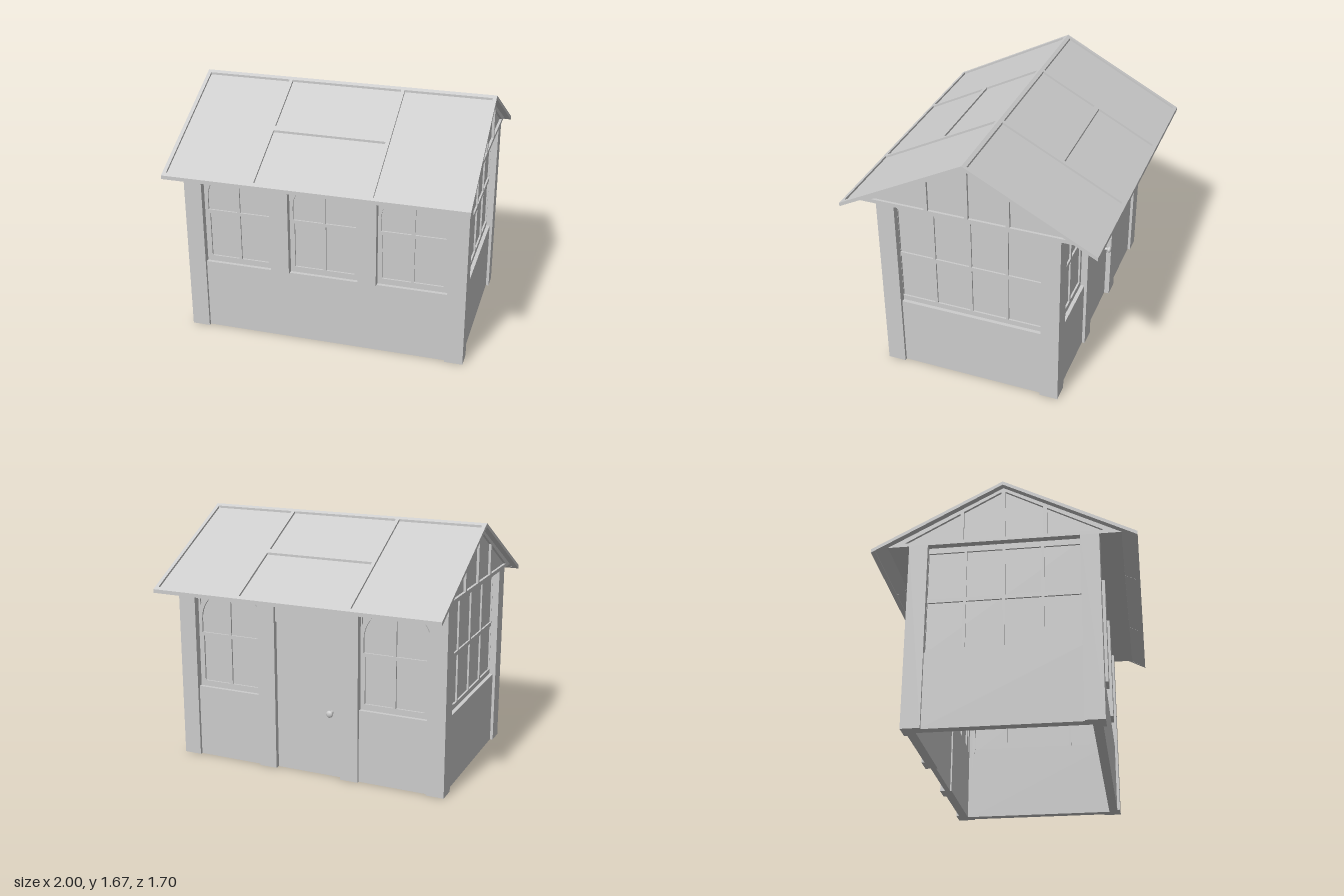
import * as THREE from 'three';

const paint = new THREE.MeshStandardMaterial({ color: 0xcccccc });
paint.name = 'light grey';

const W = 0.96, D = 0.61;      // half width and half depth of the house
const RIDGE = 1.675, SLOPE = 0.5235;
const PLATE = 1.255;           // top of the walls

function add(parent, name, geometry) {
  const m = new THREE.Mesh(geometry, paint);
  m.name = name;
  parent.add(m);
  return m;
}

// Box given by its limits
function box(parent, name, x0, x1, y0, y1, z0, z1) {
  const g = new THREE.BoxGeometry(x1 - x0, y1 - y0, z1 - z0);
  g.translate((x0 + x1) / 2, (y0 + y1) / 2, (z0 + z1) / 2);
  return add(parent, name, g);
}

const toPoints = (list) => list.map(([x, y]) => new THREE.Vector2(x, y));
const rect = (x0, x1, y0, y1) => [[x0, y0], [x1, y0], [x1, y1], [x0, y1]];
const flip = (list) => list.map(([x, y]) => [-x, y]);

// Flat frame with openings, from z0 to z1
function frame(parent, name, outline, holes, z0, z1) {
  const shape = new THREE.Shape(toPoints(outline));
  shape.holes = holes.map((h) => new THREE.Path(toPoints(h)));
  const g = new THREE.ExtrudeGeometry(shape, { depth: z1 - z0, bevelEnabled: false });
  g.translate(0, 0, z0);
  return add(parent, name, g);
}

function arc(r, cy, a0, a1, n = 10) {
  const pts = [];
  for (let i = 0; i <= n; i++) {
    const a = a0 + (a1 - a0) * i / n;
    pts.push([r * Math.cos(a), cy + r * Math.sin(a)]);
  }
  return pts;
}

// Arched four-pane window with open corners above the arch
function archWindow(parent, x, d) {
  const win = new THREE.Group();
  win.name = 'archedWindow';
  win.position.x = x;
  parent.add(win);
  const cy = 0.975;
  const lower = rect(0.01, 0.205, 0.54, 0.86);
  const upper = [[0.01, 0.885], [0.215, 0.885], ...arc(0.215, cy, 0, 1.524)];
  const corner = [[0.225, 1.235], [0.06, 1.235], ...arc(0.245, cy, 1.32, 0.407)];
  const half = [lower, upper, corner];
  frame(win, 'windowFrame', rect(-0.24, 0.24, 0.5, PLATE), [...half, ...half.map(flip)], d - 0.075, d - 0.045);
  box(win, 'windowPane', -0.235, 0.235, 0.51, 1.25, d - 0.063, d - 0.057);
}

function face(house, name, angle) {
  const g = new THREE.Group();
  g.name = name;
  g.rotation.y = angle;
  house.add(g);
  return g;
}

// Gable end: low wall, eight-pane window and glazed triangle
function gableSide(house, name, angle) {
  const g = face(house, name, angle);
  box(g, 'lowWall', -0.5, 0.5, 0, 0.5, W - 0.08, W - 0.02);
  const holes = [];
  for (let i = 0; i < 4; i++) {
    const x = -0.487 + i * 0.2475;
    holes.push(rect(x, x + 0.23, 0.535, 0.857), rect(x, x + 0.23, 0.885, 1.215));
  }
  frame(g, 'sideWindowFrame', rect(-0.5, 0.5, 0.5, PLATE), holes, W - 0.075, W - 0.045);
  box(g, 'sideWindowPane', -0.495, 0.495, 0.51, 1.25, W - 0.063, W - 0.057);

  const rake = (z) => 1.627 - 0.5423 * z;
  const inner = [[0.0125, 1.28], [0.257, 1.28], [0.257, rake(0.257)], [0.0125, rake(0.0125)]];
  const outer = [[0.282, 1.28], [0.64, 1.28], [0.282, rake(0.282)]];
  const triangle = [[-0.752, PLATE], [0.752, PLATE], [0, RIDGE - 0.025]];
  frame(g, 'gableFrame', triangle, [inner, outer, flip(inner), flip(outer)], W - 0.04, W);
  frame(g, 'gablePane', [[-0.7, 1.265], [0.7, 1.265], [0, 1.635]], [], W - 0.023, W - 0.017);
}

function frontSide(house) {
  const g = face(house, 'frontSide', 0);
  box(g, 'lowWall', -0.85, 0.85, 0, 0.5, D - 0.08, D - 0.02);
  for (const s of [-1, 0, 1]) archWindow(g, s * 0.5975, D);
  for (const x of [-0.3, 0.3]) box(g, 'windowPost', x - 0.0625, x + 0.0625, 0.5, PLATE, D - 0.08, D);
}

function backSide(house) {
  const g = face(house, 'backSide', Math.PI);
  for (const s of [-1, 1]) {
    const x = s * 0.5975;
    box(g, 'lowWall', x - 0.25, x + 0.25, 0, 0.5, D - 0.08, D - 0.02);
    archWindow(g, x, D);
    box(g, 'doorPost', s * 0.3 - 0.0625, s * 0.3 + 0.0625, 0, PLATE, D - 0.08, D);
  }
  box(g, 'door', -0.24, 0.24, 0, 1.03, D - 0.07, D - 0.035);
  box(g, 'doorHeader', -0.24, 0.24, 1.03, PLATE, D - 0.08, D - 0.02);
  // Door knob on a short stem
  const stem = new THREE.CylinderGeometry(0.01, 0.012, 0.04, 16);
  stem.rotateX(Math.PI / 2);
  add(g, 'knobStem', stem).position.set(0.165, 0.453, D - 0.02);
  const knob = add(g, 'doorKnob', new THREE.SphereGeometry(0.024, 20, 14));
  knob.scale.z = 0.6;
  knob.position.set(0.165, 0.453, D + 0.006);
}

// Corner posts with an L-shaped section
function cornerPosts(house) {
  for (const sx of [-1, 1]) for (const sz of [-1, 1]) {
    const pts = [[W, D], [W - 0.122, D], [W - 0.122, D - 0.08], [W - 0.08, D - 0.08], [W - 0.08, D - 0.122], [W, D - 0.122]];
    const shape = new THREE.Shape(toPoints(pts.map(([x, z]) => [sx * x, -sz * z])));
    const g = new THREE.ExtrudeGeometry(shape, { depth: PLATE, bevelEnabled: false });
    g.rotateX(-Math.PI / 2);
    add(house, 'cornerPost', g);
  }
}

// Roof slab: a box sheared down along the slope
function slab(parent, name, x0, x1, z0, z1, top, bottom) {
  const m = box(parent, name, x0, x1, RIDGE - bottom, RIDGE - top, z0, z1);
  const p = m.geometry.attributes.position;
  for (let i = 0; i < p.count; i++) p.setY(i, p.getY(i) - SLOPE * Math.abs(p.getZ(i)));
  m.geometry = m.geometry.toNonIndexed();
  m.geometry.computeVertexNormals();
}

function roof(house) {
  const r = new THREE.Group();
  r.name = 'roof';
  house.add(r);
  for (const s of [-1, 1]) {
    const strip = (name, x0, x1, a, b, top, bottom) =>
      slab(r, name, x0, x1, Math.min(s * a, s * b), Math.max(s * a, s * b), top, bottom);
    strip('roofPanel', -0.99, 0.99, 0, 0.84, 0.015, 0.024);
    strip('ridgeBar', -1, 1, 0, 0.023, 0, 0.025);
    strip('eaveBar', -1, 1, 0.825, 0.85, 0, 0.025);
    for (const x of [-0.9875, -0.3925, 0.3825, 0.9875])
      strip('roofRafter', x - 0.0125, x + 0.0125, 0.023, 0.825, 0, 0.025);
    strip('roofCrossBar', -0.38, 0.37, 0.397, 0.43, 0, 0.025);
    // Soffit between wall top and eave
    const z = [s * (D - 0.08), s * 0.75].sort((a, b) => a - b);
    box(r, 'soffit', -W + 0.005, W - 0.005, PLATE, PLATE + 0.004, z[0], z[1]);
  }
}

export function createModel() {
  const house = new THREE.Group();
  house.name = 'gardenHouse';
  cornerPosts(house);
  frontSide(house);
  backSide(house);
  gableSide(house, 'leftSide', Math.PI / 2);
  gableSide(house, 'rightSide', -Math.PI / 2);
  roof(house);
  return house;
}
